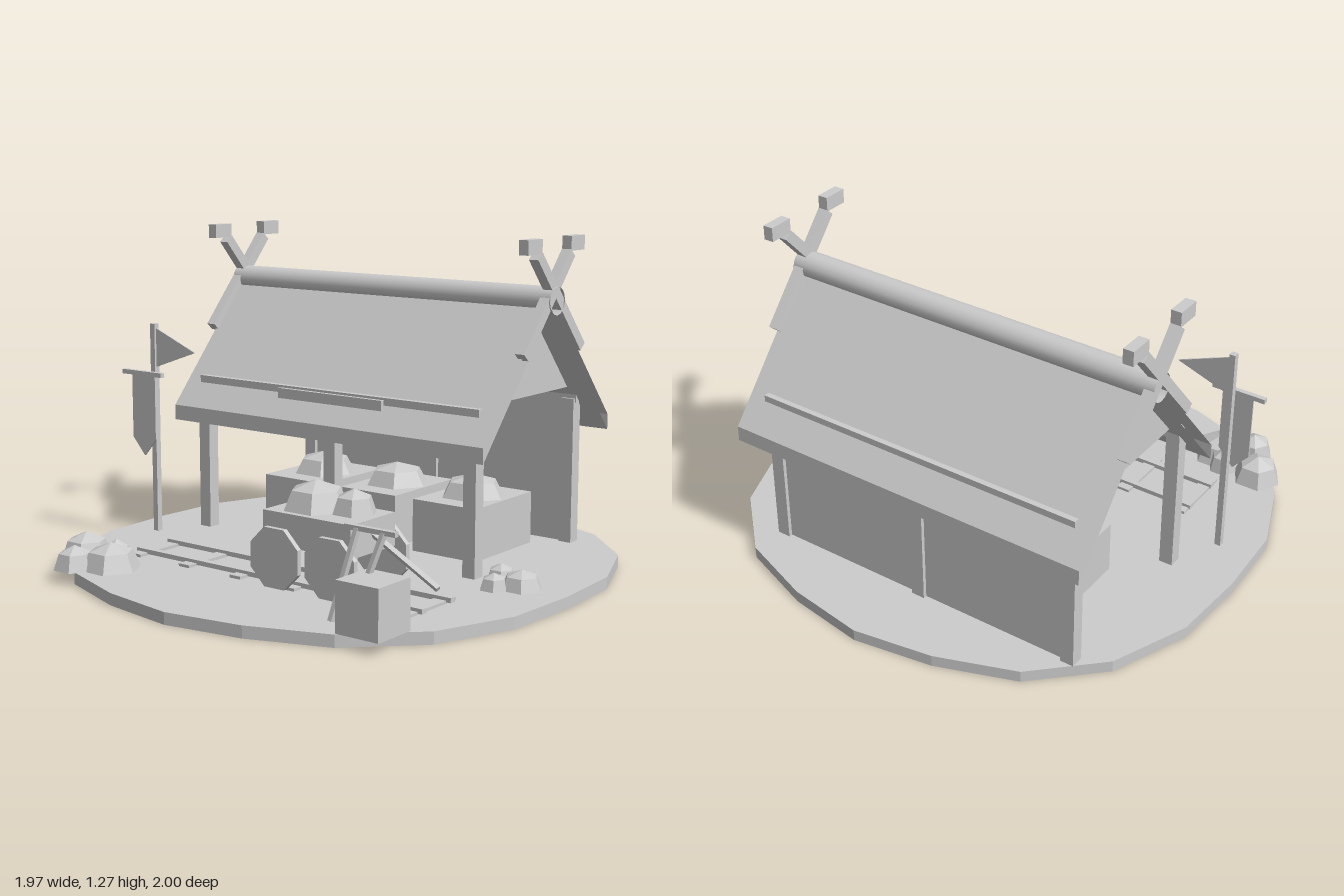
import * as THREE from 'three';
import { mergeGeometries } from 'three/addons/utils/BufferGeometryUtils.js';

export function createModel() {
  const root = new THREE.Group();
  const stone = new THREE.MeshStandardMaterial({ color: 0xcccccc, side: THREE.DoubleSide });
  stone.name = 'pale grey';
  const G = 0.045; // ground height

  function add(name, geo) {
    const m = new THREE.Mesh(geo, stone);
    m.name = name;
    root.add(m);
    return m;
  }
  // Box from its low and high corners
  function box(name, x0, x1, y0, y1, z0, z1) {
    return add(name, new THREE.BoxGeometry(x1 - x0, y1 - y0, z1 - z0)
      .translate((x0 + x1) / 2, (y0 + y1) / 2, (z0 + z1) / 2));
  }
  // Square bar between two points
  function bar(name, a, b, w, h) {
    const p = new THREE.Vector3(...a), q = new THREE.Vector3(...b);
    const m = add(name, new THREE.BoxGeometry(w, h, p.distanceTo(q)));
    m.position.copy(p).lerp(q, 0.5);
    m.quaternion.setFromUnitVectors(new THREE.Vector3(0, 0, 1), q.sub(p).normalize());
    return m;
  }
  function flat(geo) {
    const g = geo.toNonIndexed();
    g.computeVertexNormals();
    return g;
  }
  // Six-sided faceted lump
  function rock(name, x, y, z, r, h) {
    const skirt = new THREE.CylinderGeometry(r * 0.75, r, h * 0.68, 6, 1, true).translate(0, h * 0.34, 0);
    const cap = new THREE.ConeGeometry(r * 0.75, h * 0.32, 6, 1, true).translate(0, h * 0.84, 0);
    return add(name, flat(mergeGeometries([skirt, cap])).rotateY(Math.PI / 2).translate(x, y, z));
  }
  // Thin plate from an outline
  function plate(name, pts, depth) {
    const s = new THREE.Shape(pts.map(p => new THREE.Vector2(...p)));
    return add(name, new THREE.ExtrudeGeometry(s, { depth, bevelEnabled: false }));
  }

  // Uneven round ground slab
  const radii = [1, 1, 1.04, 1.045, 1.015, 0.983];
  const rim = [];
  for (let i = 0; i < 20; i++) {
    const k = i % 10, r = radii[k > 5 ? 10 - k : k], a = i * Math.PI / 10;
    rim.push([r * Math.sin(a), r * Math.cos(a)]);
  }
  plate('ground', rim, G).rotation.x = -Math.PI / 2;

  // Posts, back wall and top plates
  for (const x of [-0.718, -0.07, 0.578]) {
    box('frontPost', x - 0.027, x + 0.027, G, 0.62, -0.035, 0.016);
    box('backPost', x - 0.027, x + 0.027, G, 0.62, -0.715, -0.663);
  }
  box('backWall', -0.72, 0.58, G, 0.65, -0.7, -0.68);
  box('frontTopPlate', -0.743, 0.609, 0.605, 0.669, -0.035, 0.007);
  box('backTopPlate', -0.743, 0.609, 0.605, 0.669, -0.72, -0.675);
  box('frontBoard', -0.318, 0.185, 0.612, 0.66, -0.01, 0.024);

  // Gables
  for (const x of [-0.72, 0.575]) {
    const g = plate('gable', [[0.021, 0.668], [0.692, 0.668], [0.358, 1.05]], 0.01);
    g.rotation.y = Math.PI / 2;
    g.position.x = x;
  }

  // Roof shell swept along x, open at the ends
  const prof = [[0.085, 0.49], [0.085, 0.55], [-0.358, 1.062], [-0.801, 0.55], [-0.801, 0.49], [-0.358, 1.002]];
  const verts = [];
  prof.forEach(([z0, y0], i) => {
    const [z1, y1] = prof[(i + 1) % prof.length], L = -0.813, R = 0.68;
    verts.push(L, y0, z0, R, y0, z0, R, y1, z1, L, y0, z0, R, y1, z1, L, y1, z1);
  });
  const roof = new THREE.BufferGeometry();
  roof.setAttribute('position', new THREE.Float32BufferAttribute(verts, 3));
  roof.computeVertexNormals();
  add('roof', roof);
  add('ridgeBeam', new THREE.CylinderGeometry(0.053, 0.053, 1.545, 16, 1, true)
    .rotateZ(Math.PI / 2).translate(-0.067, 1.034, -0.358));

  // Crossed gable boards with block heads
  for (const x of [-0.82, 0.681]) for (const s of [-1, 1]) {
    const zc = -0.356;
    bar('crossedBoard', [x, 1.205, zc + s * 0.115], [x, 0.845, zc - s * 0.2], 0.04, 0.04);
    box('boardHead', x - 0.02, x + 0.02, 1.212, 1.267, zc + s * 0.15 - 0.048, zc + s * 0.15 + 0.048);
  }

  // Filled crates under the roof
  for (const [x0, x1] of [[-0.562, -0.252], [-0.17, 0.1], [0.185, 0.475]]) {
    box('crate', x0, x1, G, 0.25, -0.575, -0.183);
    rock('crateHeap', (x0 + x1) / 2, 0.25, -0.38, 0.13, 0.087);
  }

  // Track
  for (let i = 0; i < 6; i++) {
    const x = -0.598 + i * 0.254;
    box('sleeper', x - 0.026, x + 0.026, 0, 0.056, 0.272, 0.54);
  }
  for (const z of [0.318, 0.487]) box('rail', -0.63, 0.717, 0.05, 0.068, z - 0.013, z + 0.013);

  // Cart with ore and octagonal wheels
  box('cartBody', 0.045, 0.44, 0.2, 0.322, 0.28, 0.535);
  rock('cartOre', 0.183, 0.32, 0.404, 0.125, 0.108);
  rock('cartOre', 0.335, 0.32, 0.378, 0.085, 0.09);
  for (const x of [0.12, 0.37]) for (const z of [0.255, 0.557]) {
    add('cartWheel', flat(new THREE.CylinderGeometry(0.118, 0.118, 0.02, 8)
      .rotateY(Math.PI / 8).rotateX(Math.PI / 2)).translate(x, 0.16, z));
  }
  bar('cartHandle', [0.43, 0.273, 0.407], [0.717, 0.118, 0.407], 0.018, 0.018);

  // Flag pole with pennant and hanging banner
  box('flagPole', -0.837, -0.813, G, 0.89, 0.173, 0.197);
  plate('pennant', [[-0.82, 0.715], [-0.605, 0.79], [-0.82, 0.875]], 0.006).position.z = 0.182;
  box('bannerBar', -0.935, -0.723, 0.688, 0.706, 0.238, 0.258);
  plate('banner', [[-0.888, 0.69], [-0.888, 0.435], [-0.825, 0.365], [-0.763, 0.435], [-0.763, 0.69]], 0.006)
    .position.z = 0.245;

  // Box and leaning tools
  box('toolBox', 0.607, 0.782, G, 0.226, 0.658, 0.832);
  box('toolHead', 0.517, 0.727, 0.35, 0.367, 0.65, 0.67);
  bar('toolHandle', [0.567, 0.358, 0.662], [0.522, 0.05, 0.747], 0.018, 0.018);
  bar('toolHandle', [0.677, 0.358, 0.662], [0.602, 0.05, 0.747], 0.018, 0.018);

  // Rock piles
  for (const [x, z, r, h] of [
    [-0.74, 0.657, 0.098, 0.1], [-0.545, 0.717, 0.112, 0.1], [-0.595, 0.64, 0.06, 0.09],
    [-0.65, 0.802, 0.08, 0.09], [0.802, 0.01, 0.08, 0.07], [0.727, 0.075, 0.055, 0.06],
    [0.687, -0.035, 0.058, 0.065],
  ]) rock('rock', x, G, z, r, h);

  return root;
}
